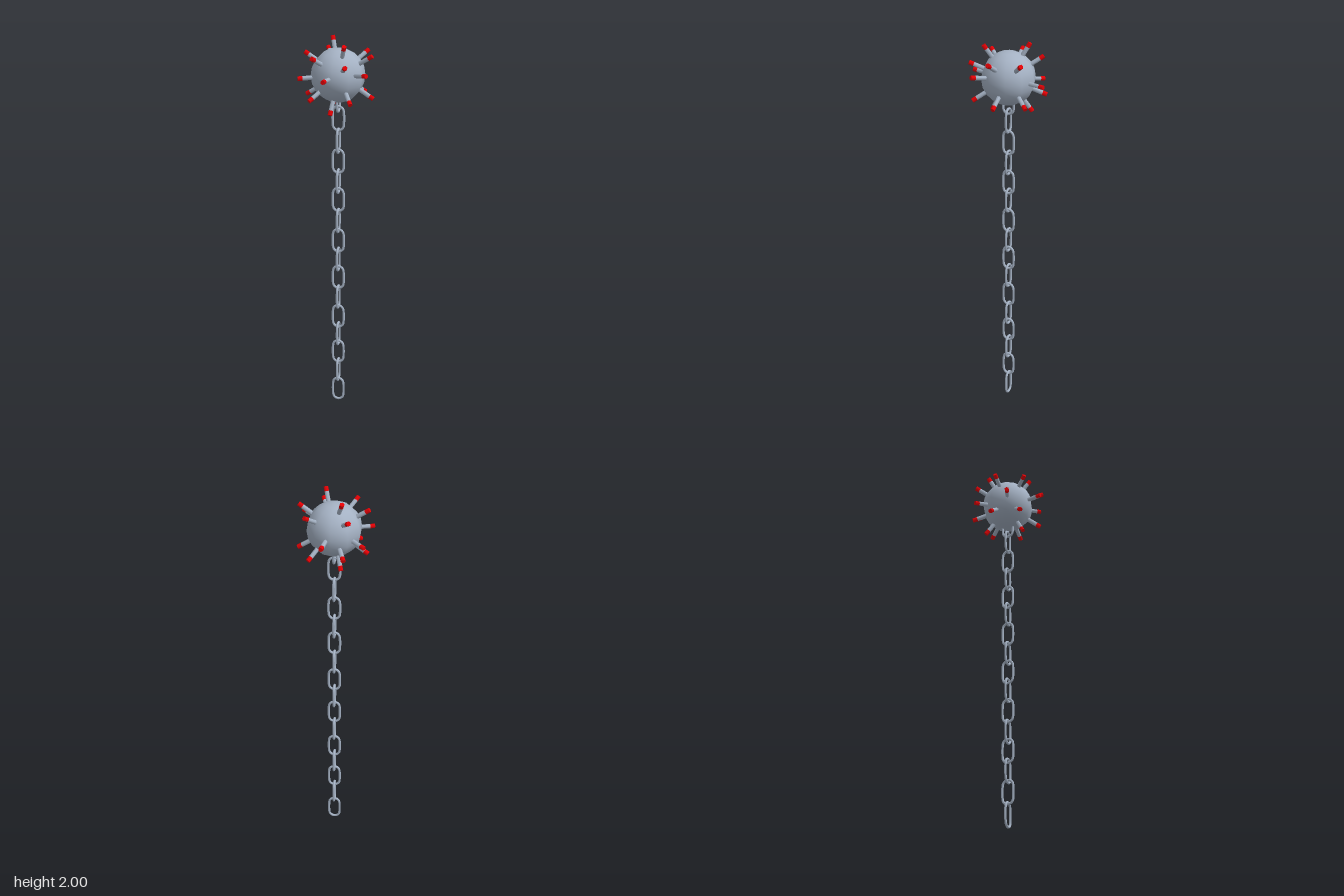
import * as THREE from 'three';

const steel = new THREE.MeshStandardMaterial({ color: 0xa5b2c4 });
steel.name = 'steel';
const red = new THREE.MeshStandardMaterial({ color: 0xe80004 });
red.name = 'red';

const BALL_Y = 1.82;
const BALL_R = 0.137;
const SPIKE_END = 0.208;
const SPIKE_R = 0.0115;
const TIP = 0.024;
const UP = new THREE.Vector3(0, 1, 0);

// Spike directions; each of these has an opposite twin
const PAIRED = [
  [0.034, -0.01, -0.208],
  [-0.072, -0.08, -0.178],
  [-0.092, 0.108, -0.15],
  [-0.162, -0.032, -0.121],
  [0.121, 0.108, -0.124],
  [0.103, -0.108, -0.14],
  [-0.17, -0.108, -0.027],
  [-0.17, 0.108, 0],
  [0.05, 0.165, 0.106],
];
// Spikes without a twin
const SINGLE = [
  [-0.052, 0.17, -0.09],
  [-0.18, -0.01, 0.072],
  [-0.022, -0.17, 0.092],
];

function createSpike(direction) {
  const spike = new THREE.Group();
  spike.name = 'spike';
  const part = (name, from, to, radius, material) => {
    const mesh = new THREE.Mesh(new THREE.CylinderGeometry(radius, radius, to - from, 6), material);
    mesh.name = name;
    mesh.position.y = (from + to) / 2;
    spike.add(mesh);
  };
  part('spikeShaft', 0.1, SPIKE_END - TIP, SPIKE_R, steel);
  part('spikeTip', SPIKE_END - TIP, SPIKE_END, SPIKE_R + 0.0005, red);
  spike.quaternion.setFromUnitVectors(UP, direction.clone().normalize());
  return spike;
}

// Round wire bent into a stadium-shaped loop
function createLinkGeometry() {
  const halfWidth = 0.0285, halfStraight = 0.034, wire = 0.0065;
  const points = [];
  for (const side of [1, -1]) {
    for (let i = 0; i <= 6; i++) {
      const a = (i / 6) * Math.PI;
      points.push(new THREE.Vector3(
        side * halfWidth * Math.cos(a),
        side * (halfStraight + halfWidth * Math.sin(a)), 0));
    }
  }
  return new THREE.TubeGeometry(new THREE.CatmullRomCurve3(points, true), 40, wire, 8, true);
}

export function createModel() {
  const model = new THREE.Group();
  model.name = 'spikedBallOnChain';

  // Ball
  const ball = new THREE.Mesh(new THREE.SphereGeometry(BALL_R, 10, 10), steel);
  ball.name = 'ball';
  ball.position.set(0.002, BALL_Y, 0);
  ball.rotation.y = Math.PI / 2;
  model.add(ball);

  // Spikes
  const spikes = new THREE.Group();
  spikes.name = 'spikes';
  spikes.position.set(0.007, BALL_Y - 0.001, 0);
  for (const d of PAIRED) {
    const v = new THREE.Vector3(...d);
    spikes.add(createSpike(v), createSpike(v.clone().negate()));
  }
  for (const d of SINGLE) spikes.add(createSpike(new THREE.Vector3(...d)));
  model.add(spikes);

  // Chain: links facing front alternate with links turned sideways
  const chain = new THREE.Group();
  chain.name = 'chain';
  chain.position.x = 0.003;
  const linkGeometry = createLinkGeometry();
  for (let k = 0; k < 8; k++) {
    const frontLink = new THREE.Mesh(linkGeometry, steel);
    frontLink.name = 'frontLink';
    frontLink.position.y = 0.071 + 0.217 * k + (k % 2 ? 0.007 : -0.002);
    const sideLink = new THREE.Mesh(linkGeometry, steel);
    sideLink.name = 'sideLink';
    sideLink.position.y = 0.185 + 0.2157 * k;
    sideLink.rotation.y = Math.PI / 2;
    chain.add(frontLink, sideLink);
  }
  model.add(chain);

  return model;
}
